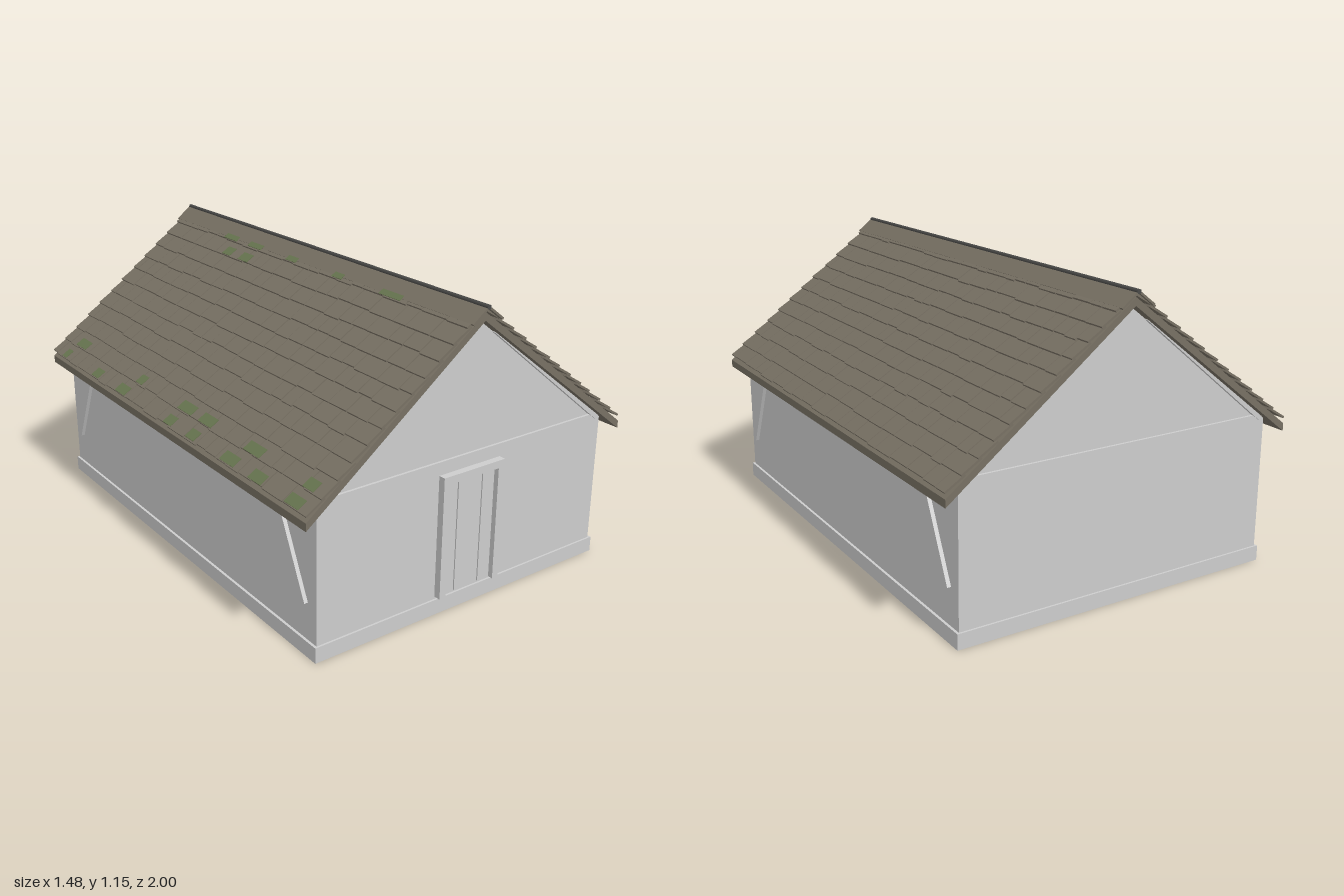
import * as THREE from 'three';
import { mergeGeometries } from 'three/addons/utils/BufferGeometryUtils.js';

const material = (name, color) => {
  const m = new THREE.MeshStandardMaterial({ color });
  m.name = name;
  return m;
};

export function createModel() {
  const plaster = material('pale grey plaster', 0xcccccc);
  const slate = material('brown grey shingle', 0x777063);
  const dark = material('dark ridge', 0x4a4a48);
  const mossGreen = material('moss green', 0x67754f);

  const house = new THREE.Group();
  house.name = 'house';

  const add = (name, geometry, mat, parent = house) => {
    const mesh = new THREE.Mesh(geometry, mat);
    mesh.name = name;
    parent.add(mesh);
    return mesh;
  };
  // box given by its lower and upper corners
  const block = (x0, x1, y0, y1, z0, z1) =>
    new THREE.BoxGeometry(x1 - x0, y1 - y0, z1 - z0)
      .translate((x0 + x1) / 2, (y0 + y1) / 2, (z0 + z1) / 2);
  // outline in x and y, extruded evenly along z
  const prism = (points, halfDepth) =>
    new THREE.ExtrudeGeometry(new THREE.Shape(points.map(p => new THREE.Vector2(...p))),
      { depth: halfDepth * 2, bevelEnabled: false }).translate(0, 0, -halfDepth);

  let seed = 17;
  const random = () => {
    seed = (seed * 16807) % 2147483647;
    return seed / 2147483647;
  };

  // Foundation, walls and gables
  add('foundation', block(-0.675, 0.675, 0, 0.06, -0.955, 0.955), plaster);
  add('walls', block(-0.665, 0.665, 0.06, 0.6, -0.947, 0.947), plaster);
  add('gables', prism([[-0.665, 0.59], [0.665, 0.59], [0, 1.11]], 0.937), plaster);
  for (const s of [1, -1]) {
    const pts = [[0.64, 0.578], [0.658, 0.6], [0.1, 1.04], [0.08, 1.03]].map(([x, y]) => [x * s, y]);
    add('rafter', prism(pts, 0.951), plaster);
  }

  // Door frame and plank door
  const door = new THREE.Group();
  door.name = 'door';
  house.add(door);
  const frame = new THREE.Shape([[-0.143, 0.07], [-0.115, 0.07], [-0.115, 0.52], [0.115, 0.52],
    [0.115, 0.07], [0.143, 0.07], [0.143, 0.55], [-0.143, 0.55]].map(p => new THREE.Vector2(...p)));
  add('doorFrame', new THREE.ExtrudeGeometry(frame, { depth: 0.03, bevelEnabled: false })
    .translate(0, 0, 0.945), plaster, door);
  for (let i = 0; i < 4; i++) {
    const x = -0.115 + i * 0.0575;
    add('doorPlank', block(x + 0.001, x + 0.0565, 0.07, 0.52, 0.94, 0.952 + (i % 2) * 0.003), plaster, door);
  }

  // Diagonal braces on the long walls
  for (const sx of [1, -1]) for (const sz of [1, -1]) {
    const brace = add('brace', new THREE.BoxGeometry(0.018, 0.42, 0.025), plaster);
    brace.position.set(sx * 0.671, 0.39, sz * 0.796);
    brace.rotation.x = -sz * Math.atan2(0.155, 0.325);
  }

  // Roof deck
  const half = 0.733, apex = 1.125, eave = 0.56;
  add('roofDeck', prism([[-half, 0.53], [0, 1.095], [half, 0.53], [half, eave], [0, apex], [-half, eave]], 0.985), slate);

  // Overlapping shingles, laid in the plane of one slope: x down the slope, y outward
  const angle = Math.atan2(apex - eave, half);
  const length = half / Math.cos(angle);
  const rows = 12, pitch = (length - 0.025) / rows, tilt = 0.11;
  const plate = (u0, u1, z0, z1, thick, lift) =>
    new THREE.BoxGeometry(u1 - u0, thick, z1 - z0)
      .rotateZ(tilt).translate((u0 + u1) / 2, lift, (z0 + z1) / 2);

  const shingles = () => {
    const parts = [];
    for (let row = 0; row < rows; row++) {
      let z = -0.985 - random() * 0.006;
      while (z < 0.985) {
        let end = z + 0.06 + random() * 0.08;
        if (end > 0.95) end = 0.985 + random() * 0.006;
        const low = (row + 1) * pitch + 0.012 + (random() - 0.5) * 0.008;
        parts.push(plate(row * pitch, low, z + 0.002, end - 0.002, 0.008, 0.012 + random() * 0.002));
        z = end;
      }
    }
    return mergeGeometries(parts);
  };

  // Moss patches: row of shingles, z and width
  const moss = [
    [11, -0.87, 0.04], [10, -0.82, 0.09], [11, -0.56, 0.06], [11, -0.33, 0.08], [10, -0.27, 0.05],
    [11, 0.07, 0.06], [10, 0.1, 0.1], [10, 0.25, 0.09], [11, 0.24, 0.06], [11, 0.5, 0.09],
    [10, 0.57, 0.1], [11, 0.68, 0.08], [11, 0.9, 0.08], [10, 0.91, 0.06],
    [1, -0.46, 0.06], [1, -0.33, 0.07], [0, -0.52, 0.1], [0, -0.33, 0.1], [0, -0.06, 0.07],
    [0, 0.25, 0.06], [0, 0.57, 0.12],
  ];

  for (const s of [1, -1]) {
    const turn = new THREE.Group();
    turn.name = s > 0 ? 'leftRoofSlope' : 'rightRoofSlope';
    turn.rotation.y = s > 0 ? 0 : Math.PI;
    const slope = new THREE.Group();
    slope.name = 'shingledSlope';
    slope.position.y = apex;
    slope.rotation.z = -angle;
    turn.add(slope);
    house.add(turn);
    add('shingles', shingles(), slate, slope);
    add('ridgeBoard', block(-0.004, 0.072, 0.013, 0.021, -1, 1), slate, slope);
    if (s < 0) {
      const patches = moss.map(([row, z, w]) => {
        const u = (row + 1) * pitch;
        return plate(u - 0.035, u + 0.008, -z - w / 2, -z + w / 2, 0.004, 0.0195);
      });
      add('moss', mergeGeometries(patches), mossGreen, slope);
    }
  }

  // Rounded ridge strip
  add('ridgeStrip', new THREE.CylinderGeometry(0.009, 0.009, 2, 8).rotateX(Math.PI / 2).translate(0, 1.146, 0), dark);

  return house;
}
